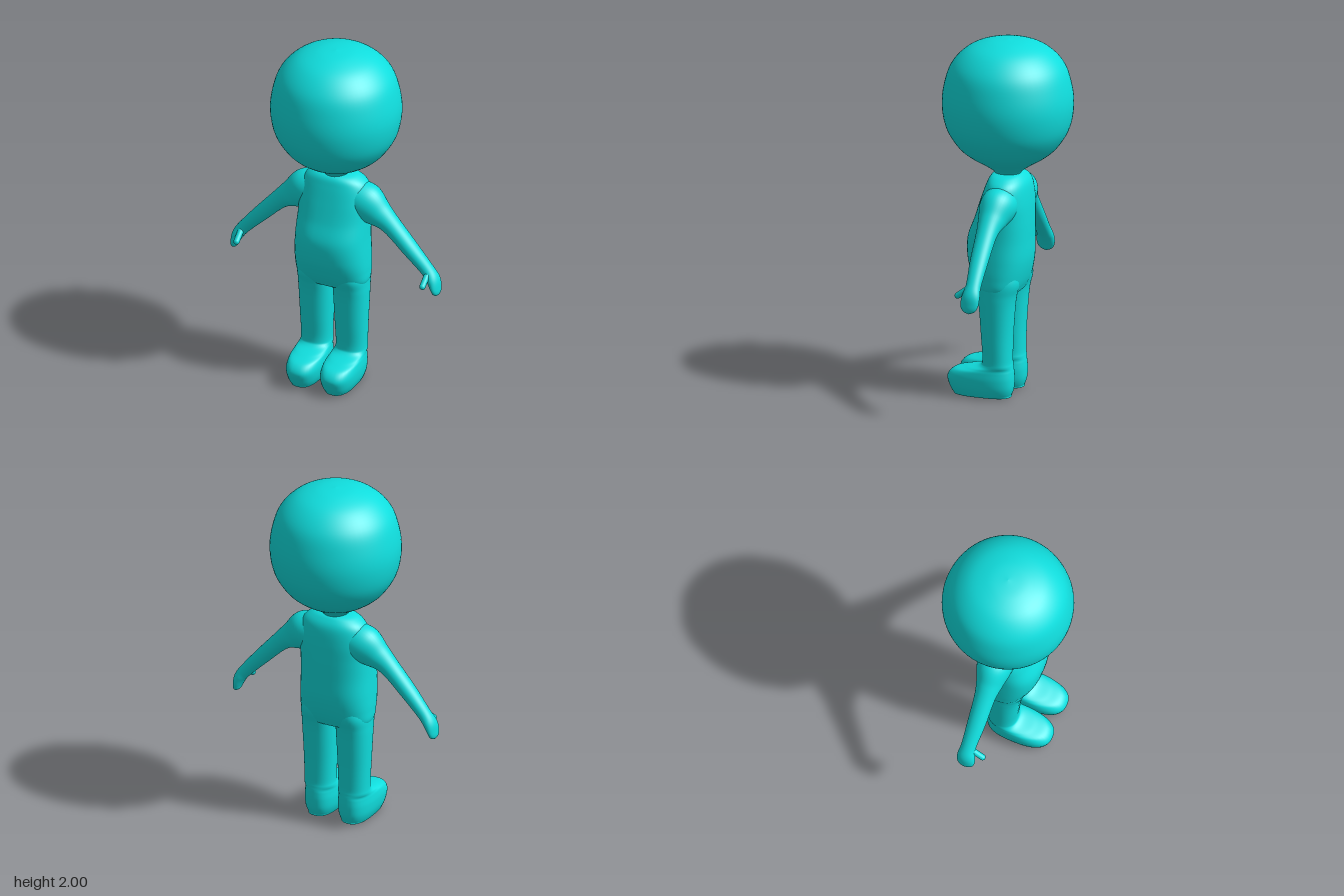
import * as THREE from 'three';

const material = new THREE.MeshStandardMaterial({ color: 0x10dede });

// Smooth skin through rings [x, y, z, halfWidth, halfDepth, tilt, exponent].
// Each ring is a superellipse; side = -1 mirrors it across x.
function loft(name, rings, side = 1, steps = 8, sides = 40) {
  const size = 7;
  const spline = new THREE.CubicInterpolant(rings.map((_, i) => i), rings.flat(), size, new Array(size));
  const rows = (rings.length - 1) * steps;
  const position = [], index = [];
  const power = (c, n) => Math.sign(c) * Math.abs(c) ** (2 / n);
  for (let i = 0; i <= rows; i++) {
    const [x, y, z, a, b, tilt, n] = spline.evaluate(i / steps);
    for (let j = 0; j < sides; j++) {
      const t = (j / sides) * Math.PI * 2;
      const u = Math.max(a, 0.0005) * power(Math.cos(t), n);
      const v = Math.max(b, 0.0005) * power(Math.sin(t), n);
      position.push(side * (x + u * Math.cos(tilt)), y + u * Math.sin(tilt), z + v);
      if (i === rows) continue;
      const k = (j + 1) % sides;
      const p = i * sides + j, q = i * sides + k, r = p + sides, s = q + sides;
      if (side > 0) index.push(p, q, r, q, s, r);
      else index.push(p, r, q, q, r, s);
    }
  }
  const geometry = new THREE.BufferGeometry();
  geometry.setAttribute('position', new THREE.Float32BufferAttribute(position, 3));
  geometry.setIndex(index);
  geometry.computeVertexNormals();
  const mesh = new THREE.Mesh(geometry, material);
  mesh.name = name;
  return mesh;
}

// Horizontal ring given by its height, centre x, half width, front z and back z
const level = (y, x, halfWidth, front, back, n = 2.3) =>
  [x, y, (front + back) / 2, halfWidth, (front - back) / 2, 0, n];

function createHead() {
  // Rounded head narrowing into the neck
  const profile = new THREE.SplineCurve([
    [0.075, 1.22], [0.075, 1.255], [0.135, 1.3], [0.21, 1.347], [0.275, 1.405], [0.335, 1.505],
    [0.358, 1.63], [0.345, 1.75], [0.305, 1.86], [0.22, 1.945], [0.11, 1.988], [0, 2],
  ].map(([x, y]) => new THREE.Vector2(x, y)));
  const points = profile.getPoints(64);
  points[64].x = 0;
  const head = new THREE.Mesh(new THREE.LatheGeometry(points, 64), material);
  head.name = 'head';
  return head;
}

function createTorso() {
  return loft('torso', [
    level(1.256, 0, 0, 0.0, -0.0, 2),
    level(1.252, 0, 0.075, 0.055, -0.06, 2),
    level(1.235, 0, 0.135, 0.085, -0.09),
    level(1.19, 0, 0.185, 0.105, -0.118),
    level(1.1, 0, 0.2, 0.135, -0.131, 2.5),
    level(1.0, 0, 0.2, 0.168, -0.135, 2.5),
    level(0.89, 0, 0.202, 0.208, -0.135, 2.5),
    level(0.78, 0, 0.207, 0.207, -0.133, 2.5),
    level(0.69, 0, 0.209, 0.182, -0.118, 2.5),
    level(0.62, 0, 0.203, 0.148, -0.096, 2.5),
    level(0.585, 0, 0.16, 0.115, -0.07),
    level(0.575, 0, 0, 0.02, 0.02, 2),
  ]);
}

// Leg and foot in one skin
function createLeg(name, side) {
  return loft(name, [
    level(0.76, 0.1, 0.07, 0.12, -0.08),
    level(0.66, 0.104, 0.095, 0.15, -0.1),
    level(0.58, 0.104, 0.098, 0.132, -0.083),
    level(0.5, 0.104, 0.096, 0.12, -0.073),
    level(0.35, 0.104, 0.09, 0.109, -0.063),
    level(0.22, 0.104, 0.085, 0.101, -0.06),
    level(0.183, 0.103, 0.087, 0.118, -0.063),
    level(0.164, 0.102, 0.09, 0.2, -0.066),
    level(0.145, 0.102, 0.094, 0.27, -0.068, 2.5),
    level(0.105, 0.102, 0.097, 0.303, -0.07, 2.6),
    level(0.055, 0.102, 0.092, 0.293, -0.067, 2.6),
    level(0.015, 0.102, 0.078, 0.272, -0.054, 2.6),
    level(0.003, 0.102, 0.064, 0.25, -0.04, 2.6),
    level(0, 0.102, 0, 0.1, 0.1, 2),
  ], side);
}

// Arm from the shoulder to the mitten hand, with a thumb
function createArm(name, side) {
  const arm = new THREE.Group();
  arm.name = name;
  arm.add(loft('armAndHand', [
    [0.05, 1.135, -0.005, 0.09, 0.09, 1.15, 2],
    [0.165, 1.095, -0.005, 0.113, 0.1, 0.98, 2],
    [0.25, 1.04, 0, 0.083, 0.076, 0.78, 2],
    [0.33, 0.99, 0.002, 0.054, 0.058, 0.76, 2],
    [0.45, 0.867, 0.002, 0.044, 0.05, 0.76, 2],
    [0.545, 0.763, -0.002, 0.036, 0.042, 0.68, 2],
    [0.583, 0.712, 0, 0.033, 0.05, 0.4, 2],
    [0.6, 0.665, 0.003, 0.024, 0.05, 0.2, 2],
    [0.606, 0.635, 0.003, 0.016, 0.034, 0.1, 2],
    [0.608, 0.62, 0.003, 0, 0, 0.1, 2],
  ], side));

  const from = new THREE.Vector3(side * 0.558, 0.76, 0.01);
  const to = new THREE.Vector3(side * 0.558, 0.703, 0.084);
  const thumb = new THREE.Mesh(new THREE.CapsuleGeometry(0.017, from.distanceTo(to), 8, 20), material);
  thumb.name = 'thumb';
  thumb.position.lerpVectors(from, to, 0.5);
  thumb.quaternion.setFromUnitVectors(new THREE.Vector3(0, 1, 0), to.clone().sub(from).normalize());
  arm.add(thumb);
  return arm;
}

export function createModel() {
  const figure = new THREE.Group();
  figure.name = 'figure';
  figure.add(createHead(), createTorso());
  for (const [label, side] of [['left', 1], ['right', -1]]) {
    figure.add(createArm(label + 'Arm', side), createLeg(label + 'Leg', side));
  }
  return figure;
}
